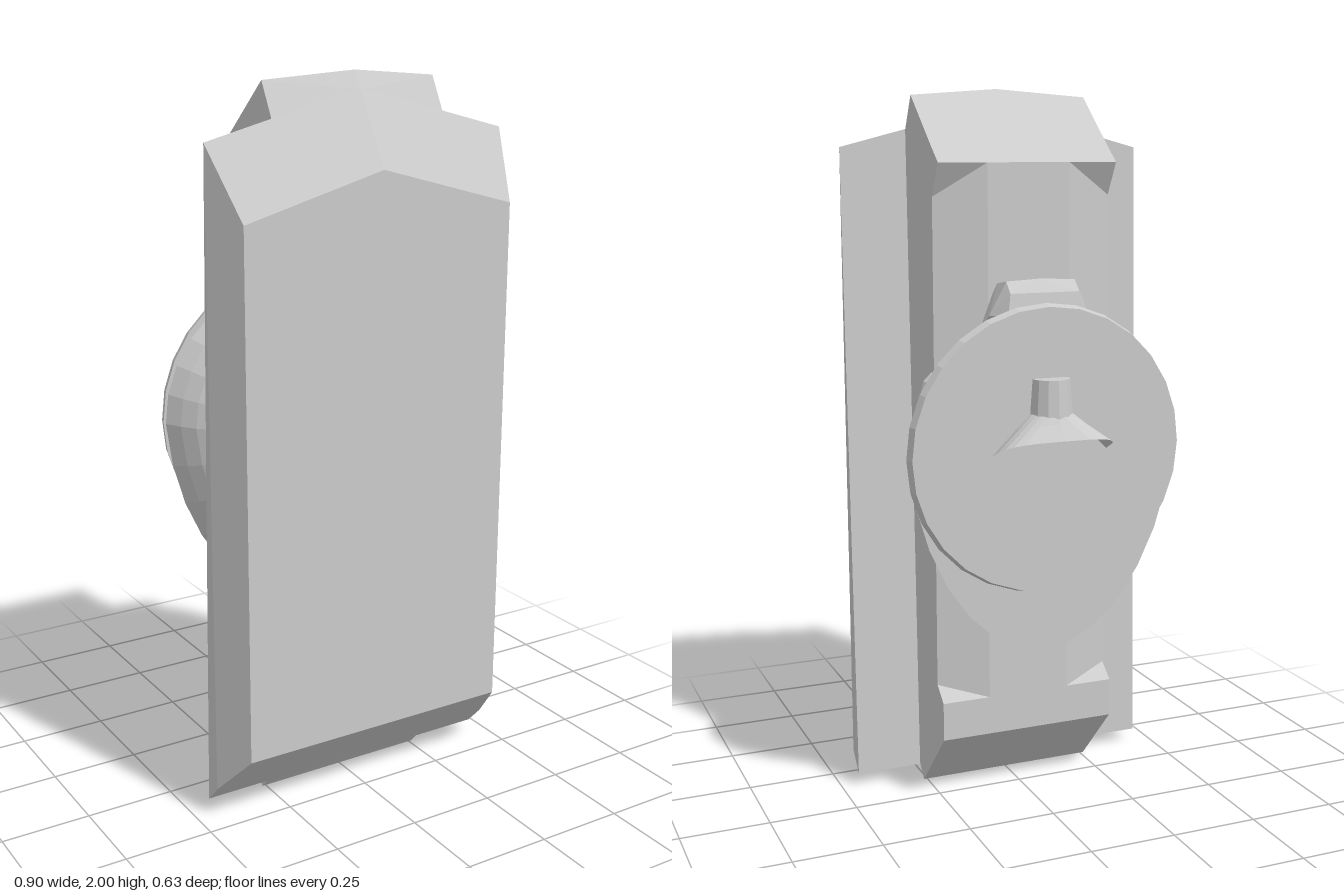
import * as THREE from 'three';
import { ConvexGeometry } from 'three/addons/geometries/ConvexGeometry.js';

export function createModel() {
  const group = new THREE.Group();
  const material = new THREE.MeshStandardMaterial({ color: 0xcccccc, flatShading: true, side: THREE.DoubleSide });

  const add = (name, geometry, x = 0, y = 0, z = 0) => {
    const mesh = new THREE.Mesh(geometry, material);
    mesh.name = name;
    mesh.position.set(x, y, z);
    group.add(mesh);
    return mesh;
  };
  // Convex solid from points, each mirrored across x = 0
  const solid = (name, points) => add(name, new ConvexGeometry(points.flatMap(([x, y, z]) =>
    x ? [new THREE.Vector3(x, y, z), new THREE.Vector3(-x, y, z)] : [new THREE.Vector3(0, y, z)])));
  // Surface through rings of equally many points
  const loft = (rings) => {
    const n = rings[0].length, index = [];
    for (let i = 0; i < rings.length - 1; i++) {
      for (let j = 0; j < n - 1; j++) {
        const a = i * n + j, b = a + n;
        index.push(a, a + 1, b, a + 1, b + 1, b);
      }
    }
    const geometry = new THREE.BufferGeometry();
    geometry.setAttribute('position', new THREE.Float32BufferAttribute(rings.flat(2), 3));
    geometry.setIndex(index);
    geometry.computeVertexNormals();
    return geometry;
  };

  // Sloping end planes shared by the plate and the block
  const frontTop = (x, z) => 1.76 - 0.27 * x + 1.71 * (0.312 - z);
  const frontBottom = (z) => 0.21 - 1.05 * (0.312 - z);

  // Wide bevelled front plate, its back leaning slightly
  solid('frontPlate', [
    [0, 1.76, 0.312], [0.405, 1.65, 0.312], [0.405, 0.21, 0.312],
    [0.45, 1.84, 0.197], [0.45, frontBottom(0.197), 0.197],
    [0.45, frontBottom(0.145), 0.145], [0, frontTop(0, 0.197), 0.197],
  ]);

  // Narrow block behind, with pointed ends
  solid('backBlock', [
    [0, 2, 0.17], [0.26, 1.98, 0.147], [0.26, frontTop(0.26, 0.2), 0.2], [0, frontTop(0, 0.2), 0.2],
    [0.26, 0.1, 0.2], [0.26, 0, 0.11], [0.26, 1.84, -0.02], [0.26, 0.137, -0.02],
  ]);
  // Chamfered back face between full-width ends
  solid('backPanel', [
    [0.26, 1.72, -0.02], [0.26, 0.33, -0.02], [0.12, 1.8, -0.07], [0.12, 0.25, -0.07],
  ]);
  solid('topEnd', [
    [0.26, 1.84, -0.02], [0.26, 1.71, -0.02], [0.26, 1.8, -0.07],
  ]);
  solid('bottomEnd', [
    [0.26, 0.137, -0.02], [0.26, 0.34, -0.02], [0.26, 0.3, -0.07], [0.26, 0.19, -0.07],
  ]);

  // Bowl with a longer lower lobe, closed by a flat back
  const sides = 28;
  const ring = (z, scale) => Array.from({ length: sides + 1 }, (_, i) => {
    const a = (i / sides) * Math.PI * 2, s = Math.sin(a);
    const x = 0.395 * Math.cos(a) * (s < 0 ? 1 + 0.1 * s : 1);
    return [x * scale, 1.03 + s * (s > 0 ? 0.38 : 0.57) * scale, z];
  });
  add('bowl', loft([
    [-0.01, 0], [-0.015, 0.4], [-0.03, 0.6], [-0.06, 0.75],
    [-0.1, 0.86], [-0.14, 0.93], [-0.187, 0.99], [-0.187, 0],
  ].map(([z, s]) => ring(z, s))));

  // Round back disc
  const disc = add('backDisc', new THREE.CylinderGeometry(0.39, 0.398, 0.026, 28), 0, 1.035, -0.2);
  disc.rotation.x = -Math.PI / 2;

  // Hump on top of the bowl
  solid('topHump', [
    [0.145, 1.36, -0.075], [0.145, 1.4, -0.14], [0.11, 1.45, -0.075], [0.1, 1.48, -0.085],
    [0.1, 1.49, -0.15], [0, 1.495, -0.15], [0.1, 1.46, -0.18], [0.11, 1.4, -0.19], [0.13, 1.3, -0.06],
  ]);

  // Side spikes and rounded studs
  for (const side of [-1, 1]) {
    const spike = add('sideSpike', new THREE.ConeGeometry(0.055, 0.1, 8), side * 0.255, 0.89, 0.0);
    spike.rotation.x = Math.PI / 2;
    add('sideStud', new THREE.SphereGeometry(0.055, 8, 6), side * 0.25, 1.19, -0.04);
  }

  // Handle: short post over a flared half skirt
  add('handlePost', new THREE.CylinderGeometry(0.052, 0.06, 0.11, 12), 0, 1.18, -0.22);
  const arc = (rx, rz, y, tilt, power) => Array.from({ length: 13 }, (_, i) => {
    const a = (i / 12) * Math.PI, c = Math.cos(a);
    const depth = Math.pow(Math.sin(a) + 1e-9, power);
    return [rx * Math.sign(c) * Math.pow(Math.abs(c), power), y + tilt * depth, -0.212 - rz * depth];
  });
  add('handleSkirt', loft([
    arc(0.055, 0.06, 1.145, 0, 1), arc(0.1, 0.075, 1.1, 0.02, 0.8), arc(0.17, 0.103, 1.03, 0.05, 0.6),
  ]));

  return group;
}
